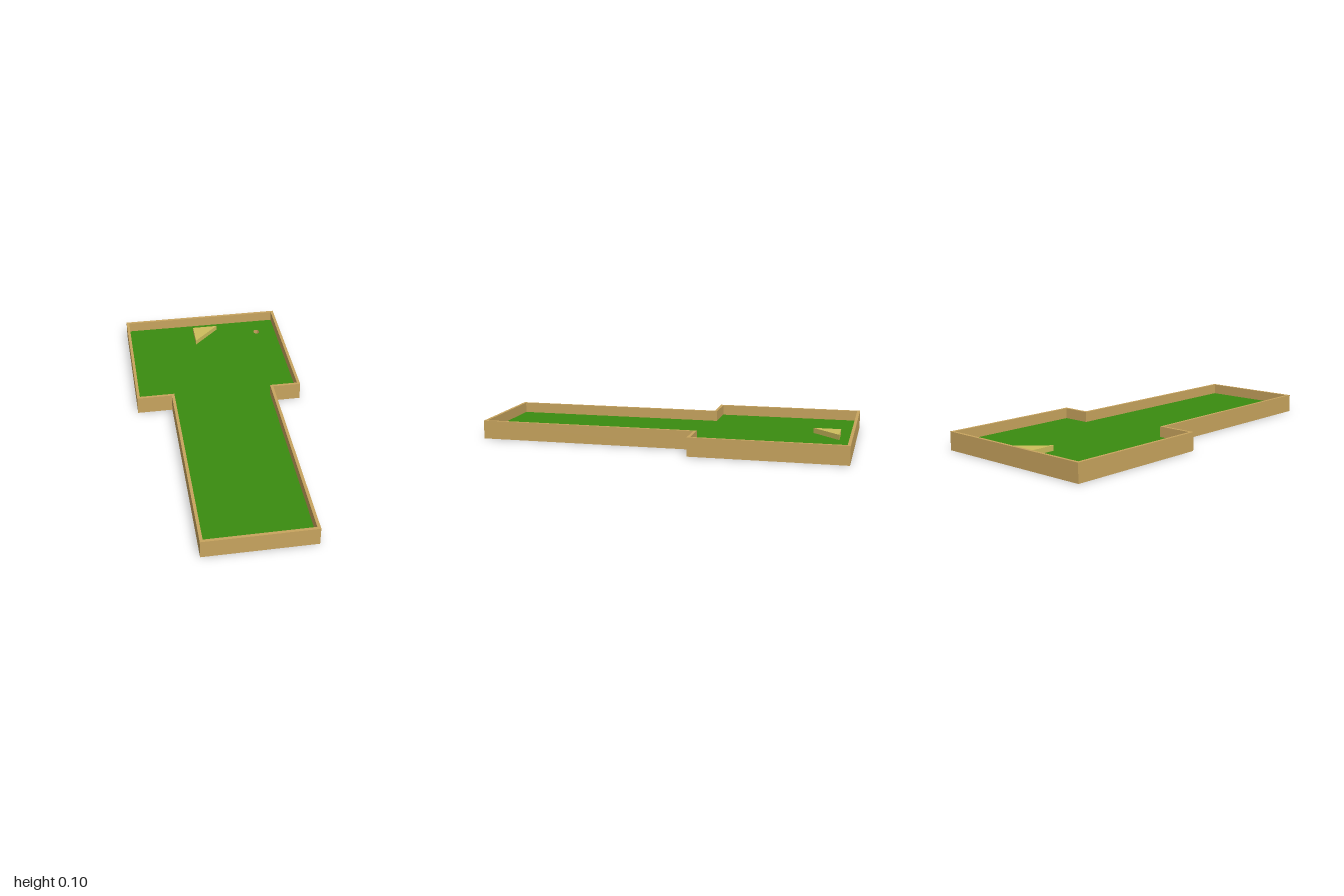
import * as THREE from 'three';

const mat = (color) => new THREE.MeshStandardMaterial({ color });

// T-shaped plan of the course, pulled in by d on every side (shape y = -z)
function outline(d) {
  const left = -0.47 + d, right = 0.47 - d;
  const stemLeft = -0.274 + d, stemRight = 0.312 - d;
  const back = 1 - d, shoulder = 0.18 + d, front = -1 + d;
  return [
    [stemLeft, front], [stemRight, front], [stemRight, shoulder], [right, shoulder],
    [right, back], [left, back], [left, shoulder], [stemLeft, shoulder],
  ].map(([x, y]) => new THREE.Vector2(x, y));
}

// Extrudes a plan shape upwards from y0 to y1
function slab(name, shape, y0, y1, material) {
  const geo = new THREE.ExtrudeGeometry(shape, { depth: y1 - y0, bevelEnabled: false, curveSegments: 6 });
  geo.rotateX(-Math.PI / 2).translate(0, y0, 0);
  const mesh = new THREE.Mesh(geo, material);
  mesh.name = name;
  return mesh;
}

export function createModel() {
  const group = new THREE.Group();
  group.name = 'miniGolfCourse';
  const wood = mat(0xc8a45e), turfGreen = mat(0x3a8c10);
  const wall = 0.016, baseTop = 0.005, turfTop = 0.043;
  const cup = { x: 0.338, y: 0.857, rx: 0.019, ry: 0.022 };

  // Wooden border around the course
  const border = new THREE.Shape(outline(0));
  border.holes.push(new THREE.Path(outline(wall)));
  group.add(slab('border', border, 0, 0.1, wood));

  // Thin wooden underside
  group.add(slab('base', new THREE.Shape(outline(wall)), 0, baseTop, wood));

  // Turf with the cup hole cut through it
  const turf = new THREE.Shape(outline(wall));
  turf.holes.push(new THREE.Path().absellipse(cup.x, cup.y, cup.rx, cup.ry, 0, Math.PI * 2, true));
  group.add(slab('turf', turf, baseTop, turfTop, [turfGreen, wood]));

  // Coloured bottom of the cup
  const cupBottom = new THREE.Shape().absellipse(cup.x, cup.y, cup.rx, cup.ry, 0, Math.PI * 2, false);
  group.add(slab('cupBottom', cupBottom, baseTop, baseTop + 0.003, mat(0x8a10b4)));

  // Triangular obstacle block
  const triangle = new THREE.Shape([[-0.058, 0.92], [-0.058, 0.77], [0.092, 0.92]]
    .map(([x, y]) => new THREE.Vector2(x, y)));
  group.add(slab('obstacle', triangle, turfTop, 0.071, mat(0xcdbd5c)));

  return group;
}
